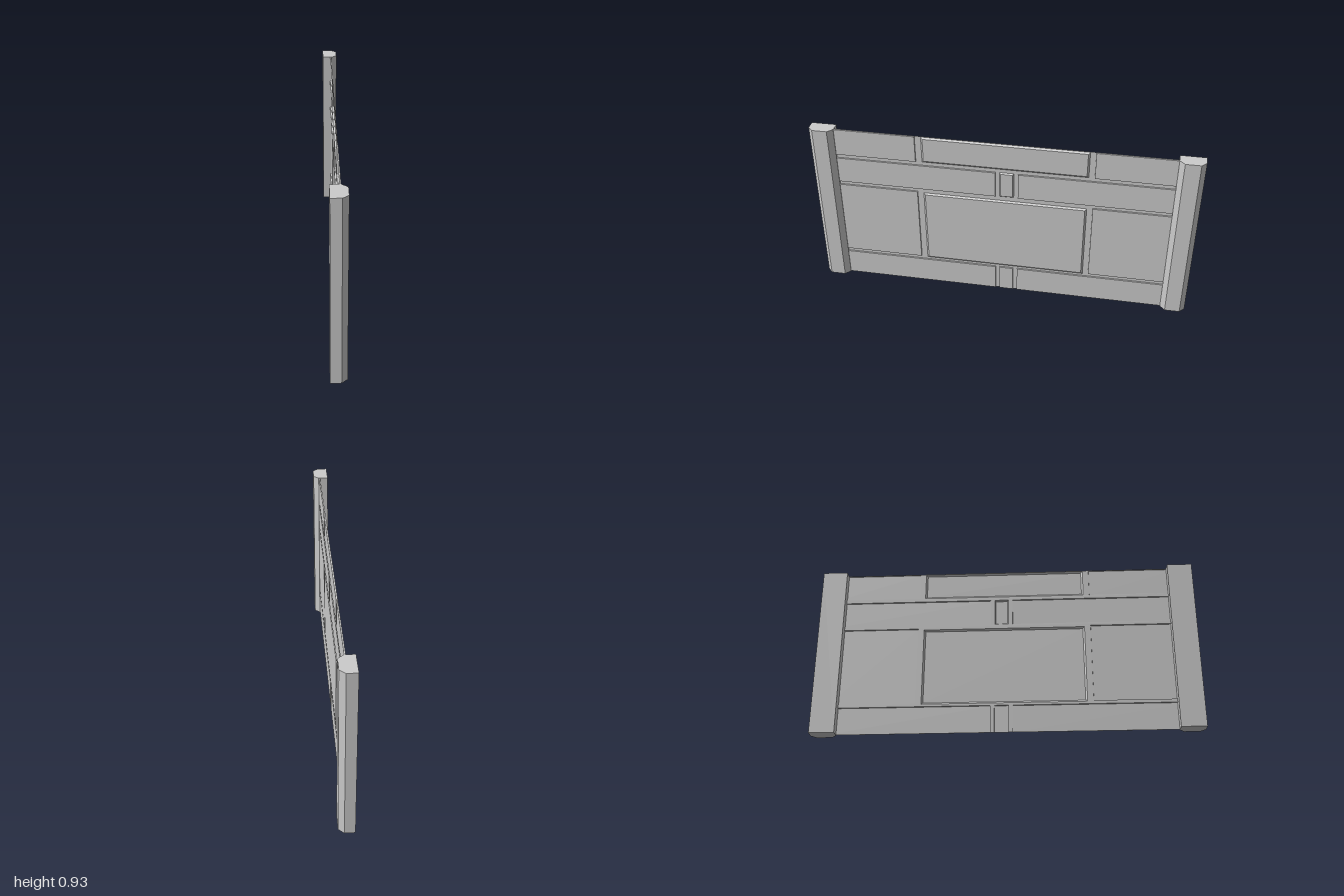
import * as THREE from 'three';

const H = 0.925, GROOVE_X = 0.003, FACE_X = 0.01;
const solid = new THREE.MeshStandardMaterial({ color: 0xcccccc, flatShading: true });
const sheet = new THREE.MeshStandardMaterial({ color: 0xcccccc, flatShading: true, side: THREE.DoubleSide });

// Corners of a rectangle in (z, y), ordered to face +x
const corners = ([z0, z1, y0, y1], inset = 0) => [
  [z0 + inset, y0 + inset], [z0 + inset, y1 - inset],
  [z1 - inset, y1 - inset], [z1 - inset, y0 + inset],
];

// Pressed panel: a flat face with sloping sides, open at the back
function raisedPanel(rect, bevel) {
  const low = corners(rect).map(([z, y]) => [GROOVE_X, y, z]);
  const high = corners(rect, bevel).map(([z, y]) => [FACE_X, y, z]);
  const pos = [];
  const quad = (a, b, c, d) => pos.push(...a, ...b, ...c, ...a, ...c, ...d);
  quad(...high);
  for (let i = 0; i < 4; i++) {
    const j = (i + 1) % 4;
    quad(low[i], low[j], high[j], high[i]);
  }
  const g = new THREE.BufferGeometry();
  g.setAttribute('position', new THREE.Float32BufferAttribute(pos, 3));
  g.computeVertexNormals();
  return g;
}

export function createModel() {
  const group = new THREE.Group();
  const add = (name, geometry, material) => {
    const mesh = new THREE.Mesh(geometry, material);
    mesh.name = name;
    group.add(mesh);
  };

  // End posts with chamfered outer corners
  const profile = [[-0.04, -0.065], [0.012, -0.065], [0.04, -0.039],
    [0.04, 0.039], [0.012, 0.065], [-0.04, 0.065]];
  for (const [name, z] of [['frontPost', 0.935], ['backPost', -0.935]]) {
    const shape = new THREE.Shape(profile.map(([x, y]) => new THREE.Vector2(x, y)));
    const g = new THREE.ExtrudeGeometry(shape, { depth: H, bevelEnabled: false });
    g.rotateX(-Math.PI / 2).translate(0, 0, z);
    add(name, g, solid);
  }

  // Panel layout: name, [z0, z1, y0, y1], bevel width
  const E = 0.93, thin = 0.001;
  const panels = [
    ['topCentrePanel', [-0.44, 0.415, 0.775, 0.922], 0.009],
    ['topFrontPanel', [0.447, E, 0.775, 0.924], thin],
    ['topBackPanel', [-E, -0.47, 0.775, 0.924], thin],
    ['bandSmallPanel', [-0.062, 0.012, 0.61, 0.755], 0.006],
    ['bandFrontPanel', [0.033, E, 0.61, 0.755], thin],
    ['bandBackPanel', [-E, -0.083, 0.61, 0.755], thin],
    ['middleCentrePanel', [-0.44, 0.415, 0.16, 0.585], 0.009],
    ['middleFrontPanel', [0.447, E, 0.165, 0.592], thin],
    ['middleBackPanel', [-E, -0.47, 0.165, 0.592], thin],
    ['bottomSmallPanel', [-0.062, 0.012, 0.001, 0.147], thin],
    ['bottomFrontPanel', [0.033, E, 0.001, 0.147], thin],
    ['bottomBackPanel', [-E, -0.083, 0.001, 0.147], thin],
  ];

  // Recessed strips between the panels, as one sheet with openings
  const toVectors = pts => pts.map(([z, y]) => new THREE.Vector2(z, y));
  const strips = new THREE.Shape(toVectors(corners([-0.95, 0.95, 0, H])));
  for (const [name, rect, bevel] of panels) {
    strips.holes.push(new THREE.Path(toVectors(corners(rect))));
    add(name, raisedPanel(rect, bevel), sheet);
  }
  const g = new THREE.ShapeGeometry(strips);
  g.rotateY(-Math.PI / 2).translate(GROOVE_X, 0, 0);
  add('recessedStrips', g, sheet);

  return group;
}
